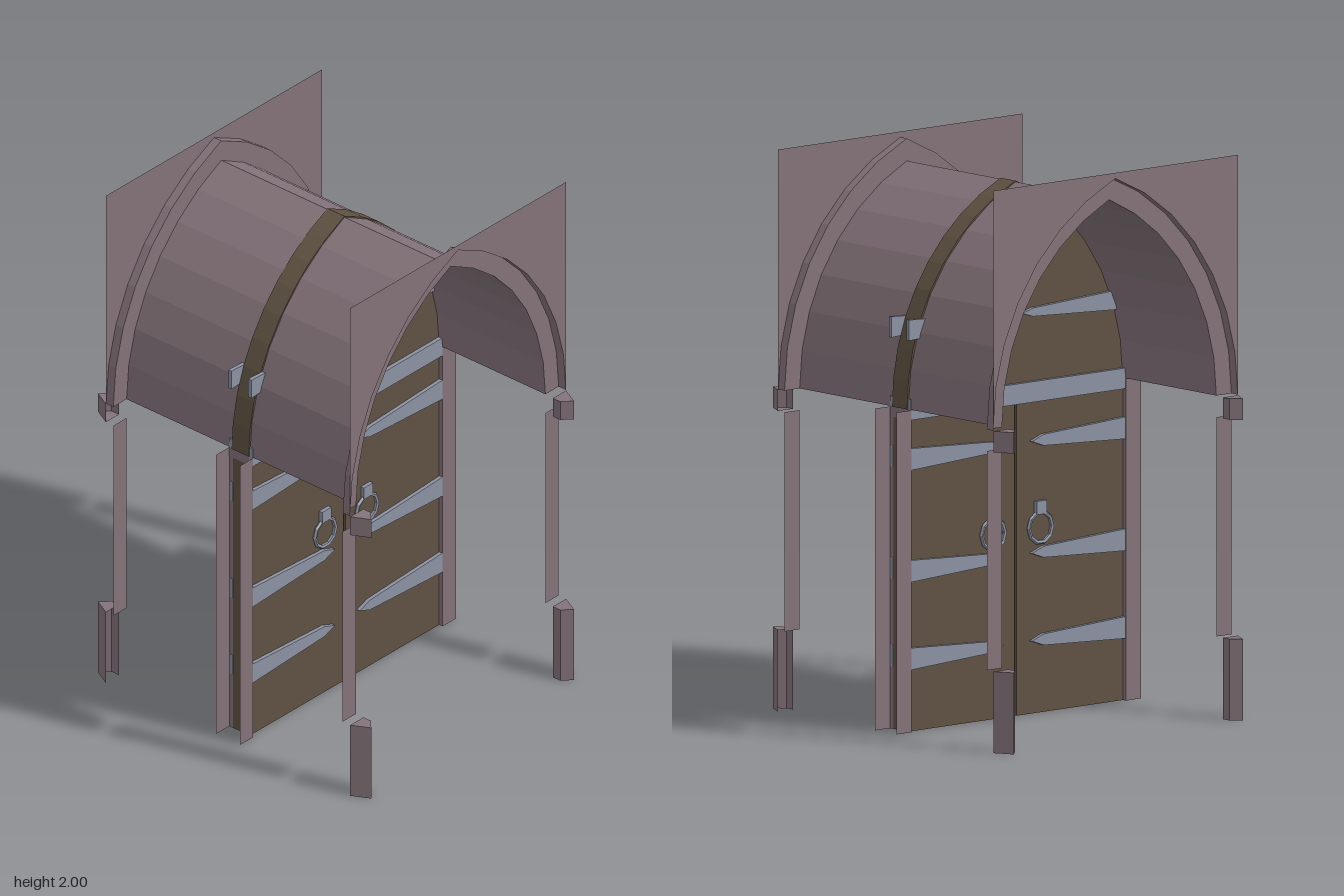
import * as THREE from 'three';

const SPRING = 1.147; // height where the arches begin
const material = (name, color) => {
  const m = new THREE.MeshStandardMaterial({ color, flatShading: true, side: THREE.DoubleSide });
  m.name = name;
  return m;
};

// Pointed arch from left springing, over the apex, to right springing
function archPoints(halfWidth, apexY, n = 7) {
  const h = apexY - SPRING;
  const c = (halfWidth * halfWidth - h * h) / (2 * halfWidth);
  const r = halfWidth - c;
  const end = Math.atan2(h, -c);
  const right = [];
  for (let i = 0; i <= n; i++) {
    const a = (end * i) / n;
    right.push(new THREE.Vector2(c + r * Math.cos(a), SPRING + r * Math.sin(a)));
  }
  right[n].x = 0;
  const left = right.slice(0, n).map((p) => new THREE.Vector2(-p.x, p.y));
  return [...left, ...right.reverse()];
}

// Open sheet following a 2D line, running between two depths
function sheet(points, z0, z1) {
  const g = new THREE.PlaneGeometry(1, 1, points.length - 1, 1);
  const p = g.attributes.position;
  for (let i = 0; i < p.count; i++) {
    const q = points[i % points.length];
    p.setXYZ(i, q.x, q.y, i < points.length ? z0 : z1);
  }
  g.computeVertexNormals();
  return g;
}

export function createModel() {
  const stone = material('stone', 0x84737a);
  const wood = material('wood', 0x5f5242);
  const iron = material('iron', 0x8d93a4);
  const model = new THREE.Group();

  const add = (name, geometry, mat, x = 0, y = 0, z = 0, parent = model) => {
    const mesh = new THREE.Mesh(geometry, mat);
    mesh.name = name;
    mesh.position.set(x, y, z);
    parent.add(mesh);
    return mesh;
  };
  const box = (name, mat, x0, x1, y0, y1, z0, z1, parent) =>
    add(name, new THREE.BoxGeometry(x1 - x0, y1 - y0, z1 - z0), mat,
      (x0 + x1) / 2, (y0 + y1) / 2, (z0 + z1) / 2, parent);
  const strip = (name, x0, x1, y0, y1, z, parent) =>
    add(name, new THREE.PlaneGeometry(x1 - x0, y1 - y0), stone, (x0 + x1) / 2, (y0 + y1) / 2, z, parent);

  const inner = archPoints(0.5, 1.9);
  const outer = archPoints(0.57, 1.98);
  const V = (x, y) => new THREE.Vector2(x, y);

  // Vaulted passage ceiling
  add('vault', sheet(inner, -0.538, 0.538), stone);

  // Wooden panel filling the arch, and the two door leaves
  const panel = new THREE.ExtrudeGeometry(new THREE.Shape(archPoints(0.506, 1.904, 9)),
    { depth: 0.08, bevelEnabled: false });
  add('archPanel', panel, wood, 0, 0, -0.04);
  for (const s of [-1, 1]) {
    const near = s * 0.005, far = s * 0.5;
    box('doorLeaf', wood, Math.min(near, far), Math.max(near, far), 0, 1.12, -0.04, 0.04);
    // Short stone return beside the crossbar
    const side = add('crossbarReturn', new THREE.PlaneGeometry(0.11, 0.037), stone, s * 0.502, 1.1285, 0);
    side.rotation.y = Math.PI / 2;
  }

  // Post profile with an angled nose; x across, y is depth outward
  const nose = [V(0.5, 0), V(0.5, 0.035), V(0.535, 0.068), V(0.57, 0)];
  function post(name, y0, y1, bottom, s, parent) {
    const g = new THREE.Group();
    g.name = name;
    const pts = nose.map((p) => V(p.x * s, p.y));
    const walls = add('postWalls', sheet(pts, -y1, -y0), stone, 0, 0, 0, g);
    walls.rotation.x = Math.PI / 2;
    for (const y of bottom ? [y0, y1] : [y1]) {
      const cap = add('postCap', new THREE.ShapeGeometry(new THREE.Shape(pts)), stone, 0, y, 0, g);
      cap.rotation.x = Math.PI / 2;
    }
    g.position.z = 0.573;
    parent.add(g);
  }

  // Tapered, pointed hinge strap
  function strap(y, tip, neck, end, hEnd, hNeck, s, parent) {
    const shape = new THREE.Shape([
      V(s * end, -hEnd), V(s * neck, -hNeck), V(s * tip, 0), V(s * neck, hNeck), V(s * end, hEnd)]);
    add('hingeStrap', new THREE.ExtrudeGeometry(shape, { depth: 0.015, bevelEnabled: false }),
      iron, 0, y, 0.039, parent);
  }

  // Both ends of the passage and both faces of the door are alike
  for (const turn of [0, Math.PI]) {
    const half = new THREE.Group();
    half.name = turn ? 'backHalf' : 'frontHalf';
    half.rotation.y = turn;
    model.add(half);

    // Wall above the arch, its reveal and the recessed arch face
    const wall = new THREE.Shape([...outer, V(0.57, 2), V(-0.57, 2)]);
    add('gableWall', new THREE.ShapeGeometry(wall), stone, 0, 0, 0.572, half);
    add('archReveal', sheet(outer, 0.538, 0.572), stone, 0, 0, 0, half);
    const ring = new THREE.Shape([...outer, ...inner.slice().reverse()]);
    add('archFace', new THREE.ShapeGeometry(ring), stone, 0, 0, 0.538, half);

    // Crossbar over the doors
    box('crossbar', iron, -0.502, 0.502, 1.11, 1.183, 0.039, 0.055, half);

    for (const s of [-1, 1]) {
      const x0 = Math.min(s * 0.5, s * 0.57), x1 = Math.max(s * 0.5, s * 0.57);
      // Outer jamb with base and impost
      strip('outerJamb', x0, x1, 0.29, 1.07, 0.538, half);
      post('jambBase', 0, 0.29, false, s, half);
      post('impost', 1.07, 1.145, true, s, half);

      // Door jamb with its small return
      strip('doorJamb', x0, x1, 0, 1.145, 0.056, half);
      const ret = add('doorJambReturn', new THREE.PlaneGeometry(0.018, 1.145), stone,
        s * 0.5005, 0.5725, 0.047, half);
      ret.rotation.y = Math.PI / 2;

      // Straps on panel and leaves
      strap(1.43, 0.02, 0.07, 0.508, 0.037, 0.015, s, half);
      for (const y of [0.97, 0.572, 0.26]) strap(y, 0.065, 0.12, 0.502, 0.039, 0.02, s, half);

      // Ring handle and its mount
      add('ringHandle', new THREE.TorusGeometry(0.055, 0.008, 5, 10), iron, s * 0.11, 0.66, 0.047, half);
      box('handleMount', iron, s * 0.11 - 0.024, s * 0.11 + 0.024, 0.708, 0.755, 0.039, 0.055, half);
    }
  }
  return model;
}
